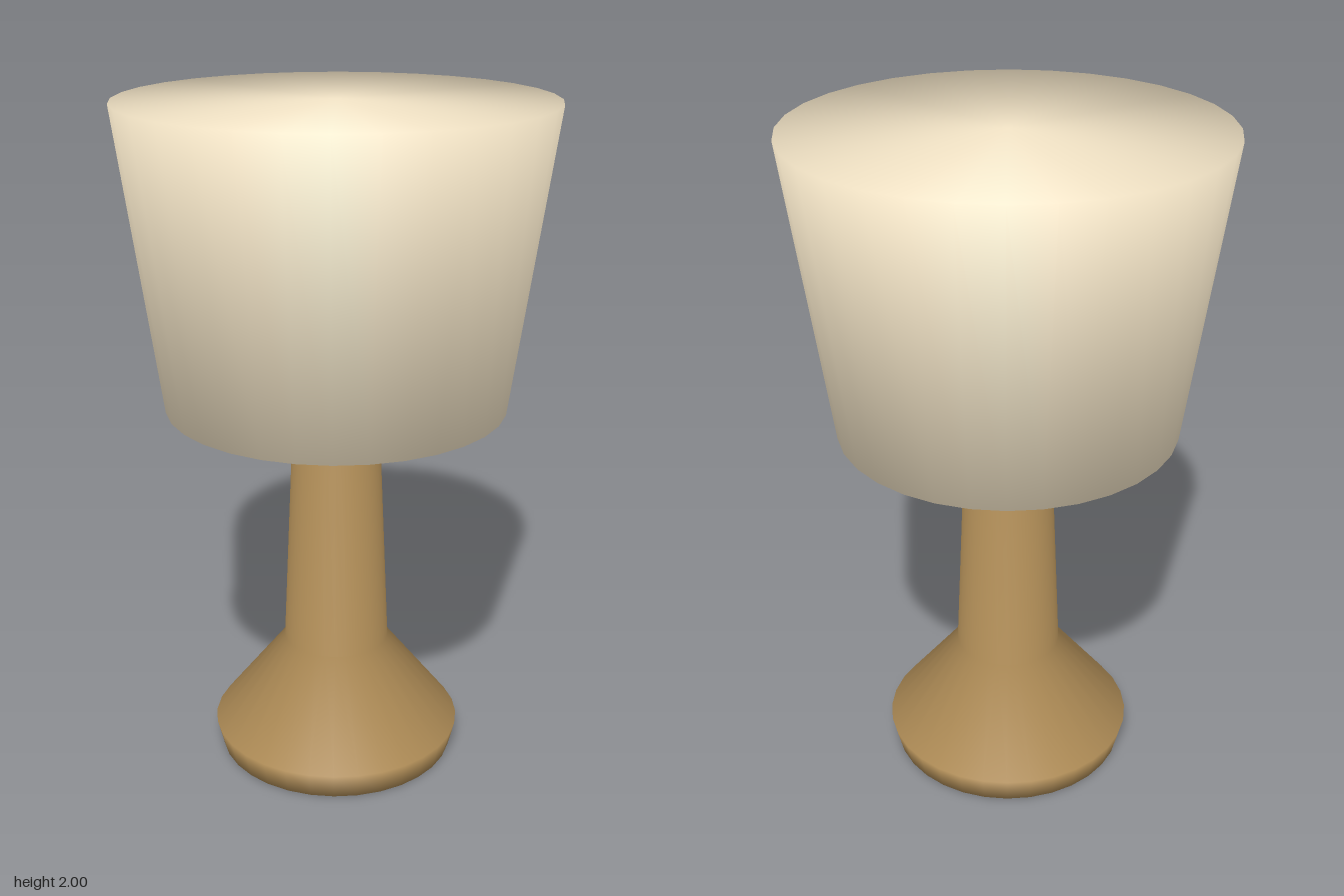
import * as THREE from 'three';

// Smooth closed turning of a [radius, height] profile around the y axis
function turned(name, profile, color) {
  const points = profile.map(([r, y]) => new THREE.Vector2(r, y));
  const mesh = new THREE.Mesh(
    new THREE.LatheGeometry(points, 32),
    new THREE.MeshStandardMaterial({ color, side: THREE.DoubleSide })
  );
  mesh.name = name;
  return mesh;
}

export function createModel() {
  const lamp = new THREE.Group();
  lamp.name = 'tableLamp';

  // Flared foot running into a slim tapered stem with a shallow pointed top
  lamp.add(turned('base', [
    [0, 0], [0.36, 0], [0.38, 0.08], [0.16, 0.36], [0.13, 1.04], [0, 1.08],
  ], 0xb08d57));

  // Closed shade, widening upwards and floating just above the stem
  lamp.add(turned('shade', [
    [0, 1.12], [0.5, 1.12], [0.62, 2], [0, 2],
  ], 0xf5e6c8));

  return lamp;
}
